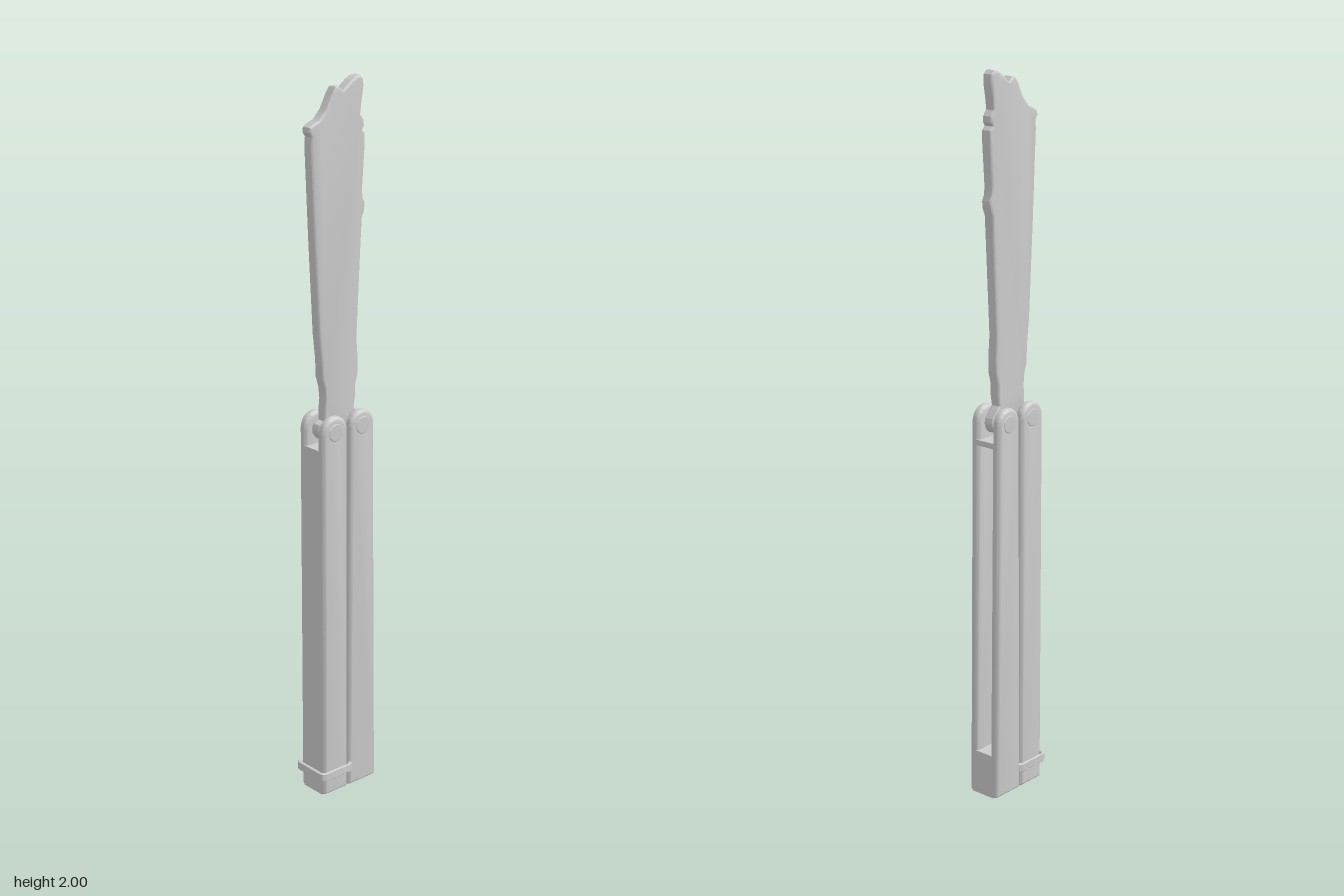
import * as THREE from 'three';
import { toCreasedNormals } from 'three/addons/utils/BufferGeometryUtils.js';

const material = new THREE.MeshStandardMaterial({ color: 0xcccccc, side: THREE.DoubleSide });

function part(name, geometry, parent, crease = 0.6) {
  const mesh = new THREE.Mesh(toCreasedNormals(geometry, crease), material);
  mesh.name = name;
  parent.add(mesh);
  return mesh;
}

// Extrusion between z0 and z1 whose bevel stays inside the outline
function slab(shape, z0, z1, bevel, segments = 3) {
  const geometry = new THREE.ExtrudeGeometry(shape, {
    depth: z1 - z0 - 2 * bevel, curveSegments: 16,
    bevelEnabled: bevel > 0, bevelThickness: bevel, bevelSize: bevel,
    bevelOffset: -bevel, bevelSegments: segments,
  });
  return geometry.translate(0, 0, z0 + bevel);
}

function roundRect(target, x0, x1, y0, y1, r) {
  target.moveTo(x0 + r, y0).lineTo(x1 - r, y0);
  target.absarc(x1 - r, y0 + r, r, -Math.PI / 2, 0, false);
  target.absarc(x1 - r, y1 - r, r, 0, Math.PI / 2, false);
  target.absarc(x0 + r, y1 - r, r, Math.PI / 2, Math.PI, false);
  target.absarc(x0 + r, y0 + r, r, Math.PI, Math.PI * 1.5, false);
  return target;
}

// Channelled handle: two side scales, a spine on -x and a slot open on +x
function buildHandle(name, left0, right0, left1, right1) {
  const handle = new THREE.Group();
  handle.name = name;
  const r = (right1 - left1) / 2, cx = (left1 + right1) / 2, pivotY = 1.12 - r;
  const leftAt = (y) => left0 + (left1 - left0) * Math.min(1, y / pivotY);
  const rightAt = (y) => right0 + (right1 - right0) * Math.min(1, y / pivotY);

  const outline = new THREE.Shape();
  outline.moveTo(left0 + 0.008, 0.004).lineTo(right0 - 0.008, 0.004);
  outline.quadraticCurveTo(right0, 0.004, right0, 0.012);
  outline.lineTo(right1, pivotY);
  outline.absarc(cx, pivotY, r, 0, Math.PI, false);
  outline.lineTo(left0, 0.012);
  outline.quadraticCurveTo(left0, 0.004, left0 + 0.008, 0.004);
  part('frontScale', slab(outline, 0.023, 0.05, 0.011), handle);
  part('backScale', slab(outline, -0.05, -0.023, 0.011), handle);

  // Spine, end block and upper crossbar form one C-shaped core
  const core = new THREE.Shape([
    [leftAt(0), 0.004], [rightAt(0), 0.004], [rightAt(0.13), 0.13], [leftAt(0.13) + 0.025, 0.13],
    [leftAt(1.015) + 0.025, 1.015], [rightAt(1.015), 1.015], [rightAt(1.03), 1.03], [leftAt(1.03), 1.03],
  ].map(([x, y]) => new THREE.Vector2(x, y)));
  part('spine', slab(core, -0.038, 0.038, 0), handle);

  // Pivot pin with low domed screw heads
  const pin = part('pivotPin', new THREE.CylinderGeometry(0.016, 0.016, 0.08, 20).rotateX(Math.PI / 2), handle);
  pin.position.set(cx, pivotY, 0);
  for (const s of [1, -1]) {
    const head = part('pivotScrew', new THREE.CylinderGeometry(0.022, 0.026, 0.003, 24).rotateX(s * Math.PI / 2), handle);
    head.position.set(cx, pivotY, s * 0.05);
  }
  return handle;
}

export function createModel() {
  const model = new THREE.Group();
  model.name = 'foldingKnife';

  // Blade with a broad broken-looking tip, narrowing into a two-lobed tang
  const points = [
    [-0.055, 1.13], [-0.052, 1.16], [-0.055, 1.19], [-0.064, 1.22], [-0.066, 1.27], [-0.074, 1.34],
    [-0.088, 1.6], [-0.099, 1.84], [-0.097, 1.86], [-0.105, 1.872], [-0.103, 1.885], [-0.09, 1.893],
    [-0.07, 1.9], [-0.047, 1.925], [-0.027, 1.963], [-0.016, 1.978], [-0.006, 1.979], [0.008, 1.967],
    [0.035, 1.988], [0.052, 1.998], [0.066, 2.0], [0.076, 1.99], [0.078, 1.97], [0.071, 1.93],
    [0.067, 1.9], [0.079, 1.885], [0.08, 1.87], [0.073, 1.86], [0.083, 1.85], [0.083, 1.82],
    [0.075, 1.71], [0.076, 1.685], [0.084, 1.67], [0.082, 1.65], [0.074, 1.63], [0.07, 1.56],
    [0.057, 1.31], [0.062, 1.25], [0.061, 1.21], [0.053, 1.18], [0.053, 1.15], [0.048, 1.12],
  ].map(([x, y]) => new THREE.Vector2(x, y));
  const blade = new THREE.Shape(points.reverse());
  blade.lineTo(-0.055, 1.1);
  blade.absarc(-0.047, 1.076, 0.03, Math.PI * 0.8, Math.PI * 1.75, false);
  blade.lineTo(0, 1.07);
  blade.absarc(0.047, 1.076, 0.03, Math.PI * 1.25, Math.PI * 2.2, false);
  blade.closePath();
  part('blade', slab(blade, -0.016, 0.016, 0.006), model);

  // Paired handles
  model.add(buildHandle('rightHandle', -0.09, -0.001, -0.091, -0.004));
  model.add(buildHandle('leftHandle', 0, 0.103, 0.005, 0.09));

  // Latch loop around the foot of one handle
  const loop = roundRect(new THREE.Shape(), -0.104, 0.012, -0.058, 0.058, 0.015);
  loop.holes.push(roundRect(new THREE.Path(), -0.094, 0.002, -0.051, 0.051, 0.01));
  part('latchLoop', slab(loop, 0.053, 0.078, 0.002, 1).rotateX(-Math.PI / 2), model);

  // Latch hinge bar joining the loop to the handle
  const hinge = part('latchHinge', new THREE.CylinderGeometry(0.008, 0.008, 0.07, 16).rotateX(Math.PI / 2), model);
  hinge.position.set(-0.092, 0.065, 0);
  return model;
}
